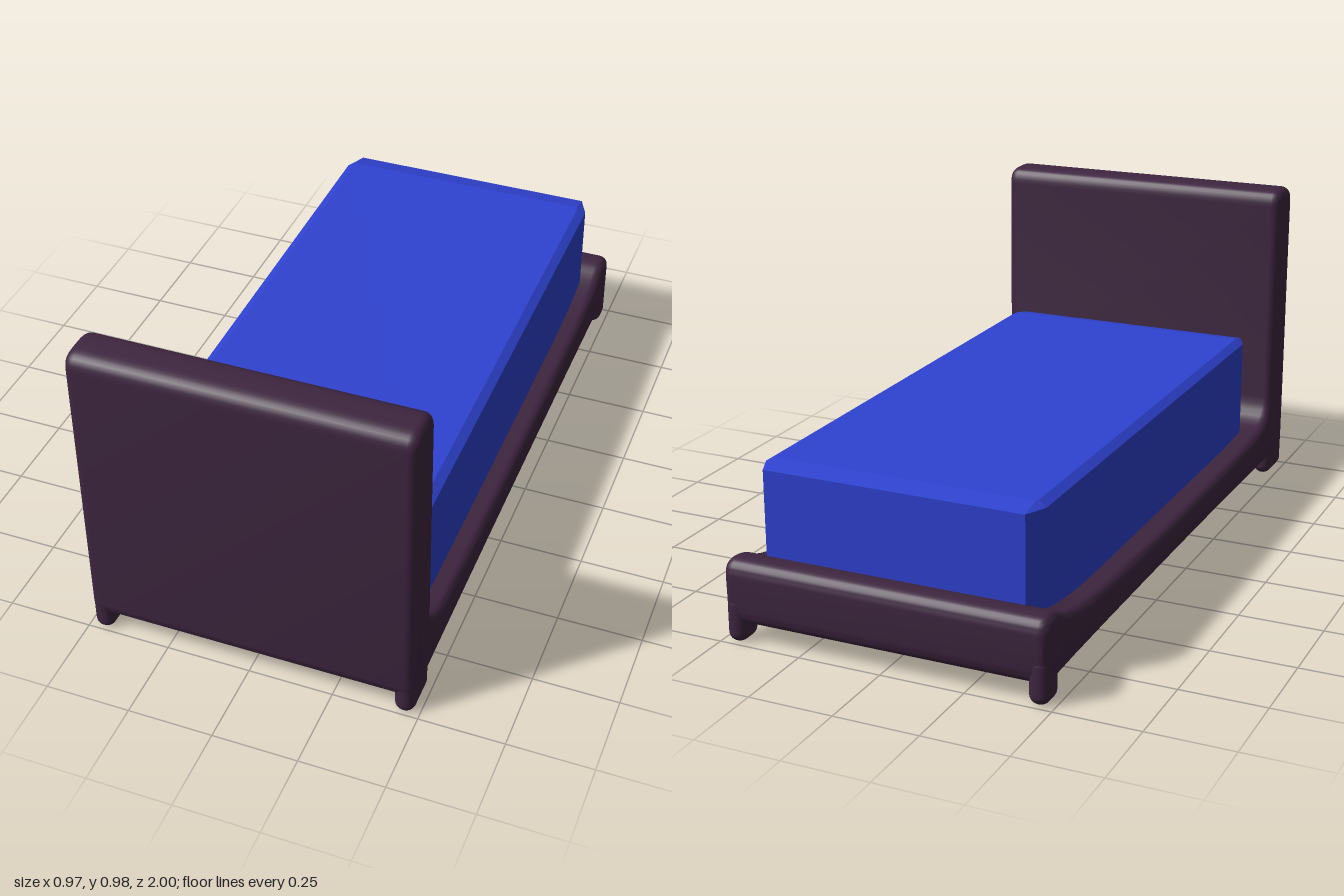
import * as THREE from 'three';
import { toCreasedNormals } from 'three/addons/utils/BufferGeometryUtils.js';
import { RoundedBoxGeometry } from 'three/addons/geometries/RoundedBoxGeometry.js';

const HALF_WIDTH = 0.485;

// Frame: side profile (z, y) extruded across the width with rounded edges
function frameGeometry() {
  const s = new THREE.Shape();
  s.moveTo(1, 0.1);
  s.lineTo(1, 0.93);
  s.bezierCurveTo(1, 0.965, 0.98, 0.98, 0.945, 0.98); // headboard top
  s.lineTo(0.91, 0.98);
  s.bezierCurveTo(0.87, 0.98, 0.853, 0.965, 0.853, 0.93);
  s.lineTo(0.85, 0.28);
  s.bezierCurveTo(0.845, 0.21, 0.8, 0.185, 0.68, 0.182); // fillet to the deck
  s.bezierCurveTo(0.45, 0.167, -0.4, 0.167, -0.62, 0.18);
  s.bezierCurveTo(-0.82, 0.19, -0.87, 0.215, -0.9, 0.235); // sweep up to the footboard
  s.bezierCurveTo(-0.93, 0.248, -0.955, 0.246, -0.965, 0.244);
  s.bezierCurveTo(-0.99, 0.238, -0.998, 0.22, -0.998, 0.195);
  s.lineTo(-0.995, 0.1);
  s.bezierCurveTo(-0.992, 0.07, -0.98, 0.055, -0.95, 0.055);
  s.bezierCurveTo(-0.7, 0.068, 0.7, 0.068, 0.95, 0.055); // gently arched underside
  s.bezierCurveTo(0.98, 0.055, 1, 0.07, 1, 0.1);
  const bevel = 0.028;
  const depth = 2 * (HALF_WIDTH - bevel);
  const g = new THREE.ExtrudeGeometry(s, {
    depth, curveSegments: 8, bevelEnabled: true, bevelSegments: 5,
    bevelSize: bevel, bevelThickness: bevel, bevelOffset: -bevel,
  });
  g.translate(0, 0, -depth / 2);
  g.rotateY(-Math.PI / 2);
  return toCreasedNormals(g, 0.6);
}

// Mattress: octagonal rings stacked in y, cut corners and a slightly crowned top
function mattressGeometry() {
  const ring = (hx, hz, cx, cz, y) => [
    [hx, hz - cz], [hx, cz - hz], [hx - cx, -hz], [cx - hx, -hz],
    [-hx, cz - hz], [-hx, hz - cz], [cx - hx, hz], [hx - cx, hz],
  ].map(([x, z]) => [x + 0.005, y, z - 0.052]);
  const rings = [
    ring(0.42, 0.857, 0.03, 0.065, 0.177),
    ring(0.42, 0.857, 0.03, 0.065, 0.49),
    ring(0.395, 0.792, 0.005, 0.01, 0.505),
  ];
  const pos = [];
  const tri = (a, b, c) => pos.push(...a, ...b, ...c);
  for (let r = 0; r < 2; r++) {
    for (let i = 0; i < 8; i++) {
      const j = (i + 1) % 8;
      const [a, b, c, d] = [rings[r][i], rings[r][j], rings[r + 1][j], rings[r + 1][i]];
      tri(a, b, c);
      tri(a, c, d);
    }
  }
  for (let i = 1; i < 7; i++) {
    tri(rings[2][0], rings[2][i], rings[2][i + 1]);
    tri(rings[0][0], rings[0][i + 1], rings[0][i]);
  }
  const g = new THREE.BufferGeometry();
  g.setAttribute('position', new THREE.Float32BufferAttribute(pos, 3));
  g.computeVertexNormals();
  return g;
}

export function createModel() {
  const plum = new THREE.MeshStandardMaterial({ color: 0x3e2640 });
  plum.name = 'plum frame';
  const blue = new THREE.MeshStandardMaterial({ color: 0x2f42d0 });
  blue.name = 'blue mattress';

  const bed = new THREE.Group();
  bed.name = 'bed';
  const add = (name, geometry, material) => {
    const mesh = new THREE.Mesh(geometry, material);
    mesh.name = name;
    bed.add(mesh);
    return mesh;
  };

  add('bedFrame', frameGeometry(), plum);
  add('mattress', mattressGeometry(), blue);

  // Stubby rounded feet under the corners
  for (const side of [1, -1]) {
    const name = side > 0 ? 'left' : 'right';
    const x = side * (HALF_WIDTH - 0.03);
    add(name + 'HeadFoot', new RoundedBoxGeometry(0.06, 0.14, 0.142, 5, 0.029), plum)
      .position.set(x, 0.07, 0.928);
    add(name + 'TailFoot', new RoundedBoxGeometry(0.06, 0.14, 0.09, 5, 0.029), plum)
      .position.set(x, 0.07, -0.952);
  }
  return bed;
}
